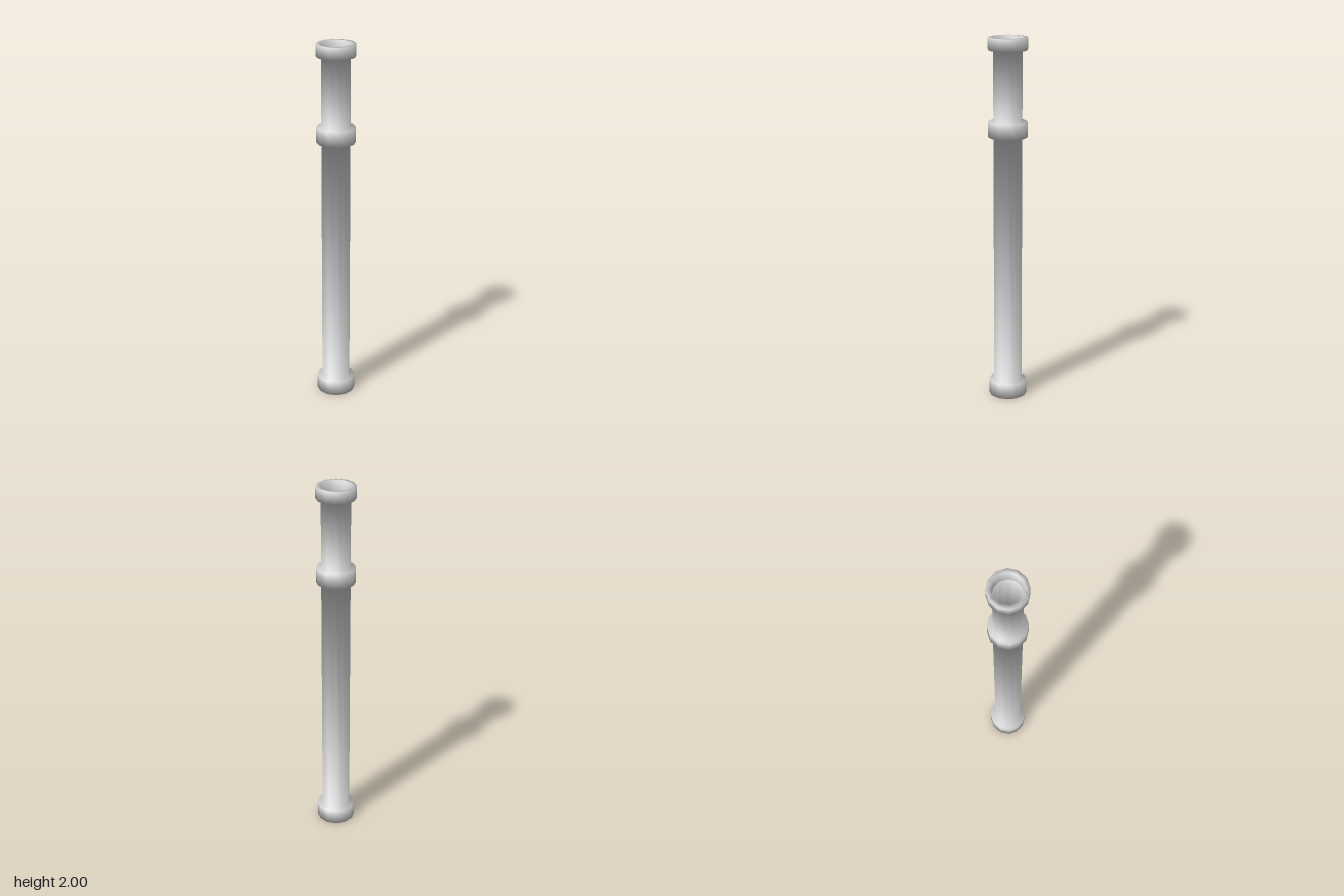
import * as THREE from 'three';

const SIDES = 12, PIPE = 0.078, LIP = 0.083, COLLAR = 0.1055;

// Revolves a profile of [radius, height] pairs, with normals blended evenly at each corner
function revolve(name, profile) {
  const points = profile.map(([r, y]) => new THREE.Vector2(r, y));
  const geometry = new THREE.LatheGeometry(points, SIDES);
  const edges = points.slice(1).map((p, i) => {
    const d = p.clone().sub(points[i]).normalize();
    return new THREE.Vector2(d.y, -d.x);
  });
  const normals = points.map((_, i) => {
    const n = new THREE.Vector2();
    if (i > 0) n.add(edges[i - 1]);
    if (i < edges.length) n.add(edges[i]);
    return n.normalize();
  });
  const attribute = geometry.attributes.normal;
  for (let i = 0; i <= SIDES; i++) {
    const a = (i / SIDES) * Math.PI * 2;
    normals.forEach((n, j) =>
      attribute.setXYZ(i * points.length + j, n.x * Math.sin(a), n.y, n.x * Math.cos(a)));
  }
  const material = new THREE.MeshStandardMaterial({ color: 0xcccccc, side: THREE.DoubleSide });
  const mesh = new THREE.Mesh(geometry, material);
  mesh.name = name;
  return mesh;
}

export function createModel() {
  const group = new THREE.Group();
  group.name = 'pipe';

  // Hollow pipe with a raised collar at each end and one at the joint
  group.add(revolve('pipeWithCollars', [
    // bottom collar, starting inside its mouth
    [PIPE, 0.082], [LIP, 0], [COLLAR, 0], [COLLAR, 0.082], [PIPE, 0.082],
    // joint collar
    [PIPE, 1.472], [COLLAR, 1.472], [COLLAR, 1.556], [PIPE, 1.556],
    // top collar, ending inside its mouth
    [PIPE, 1.934], [COLLAR, 1.934], [COLLAR, 2], [LIP, 2], [PIPE, 1.934],
  ]));
  return group;
}
